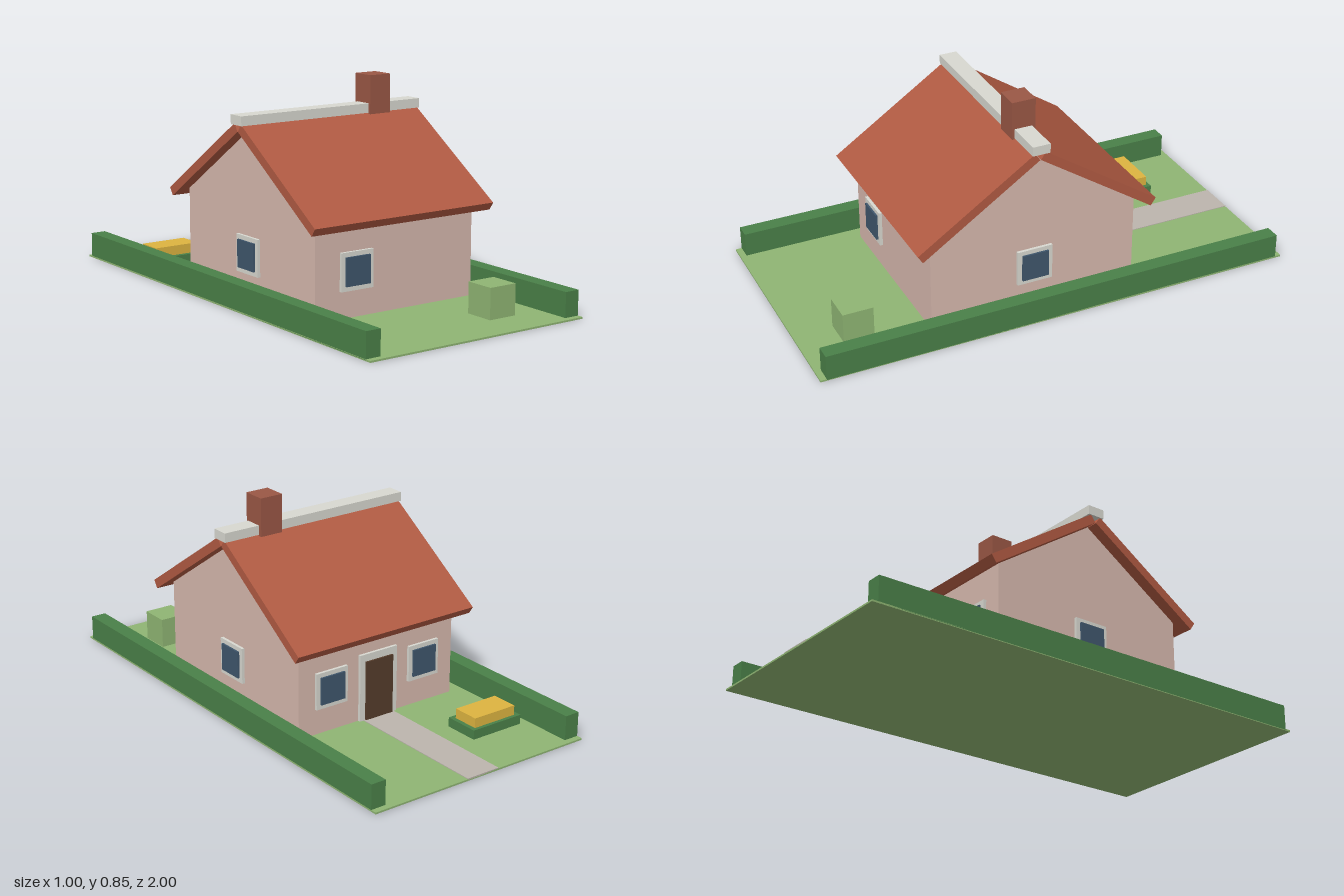
import * as THREE from 'three';

const COLORS = {
  grass: 0x8fb573, hedge: 0x4a8048, path: 0xbcb5ad, wall: 0xd6b8ad, roof: 0xb05a42,
  trim: 0xd8d8d0, glass: 0x3f566c, door: 0x553c2b, chimney: 0x9a5745, flower: 0xddb440,
};
const materials = Object.fromEntries(Object.entries(COLORS).map(([key, color]) =>
  [key, new THREE.MeshStandardMaterial({ color, flatShading: true })]));

// Box given by its extents on each axis
function box(name, material, [x0, x1], [y0, y1], [z0, z1]) {
  const mesh = new THREE.Mesh(new THREE.BoxGeometry(x1 - x0, y1 - y0, z1 - z0), materials[material]);
  mesh.name = name;
  mesh.position.set((x0 + x1) / 2, (y0 + y1) / 2, (z0 + z1) / 2);
  return mesh;
}

// Square window facing +z: frame with a raised pane
function makeWindow(name, x, z, turn) {
  const group = new THREE.Group();
  group.name = name;
  group.add(
    box('windowFrame', 'trim', [-0.074, 0.074], [0.113, 0.262], [-0.005, 0.012]),
    box('windowPane', 'glass', [-0.056, 0.056], [0.132, 0.244], [0.011, 0.02]),
  );
  group.position.set(x, 0, z);
  group.rotation.y = turn;
  return group;
}

export function createModel() {
  const model = new THREE.Group();
  model.name = 'cottageWithGarden';

  const midZ = 0.065, halfDepth = 0.435, halfWidth = 0.375;
  const frontZ = midZ + halfDepth, backZ = midZ - halfDepth;

  // Garden
  model.add(
    box('lawn', 'grass', [-0.5, 0.5], [0, 0.007], [-1, 1]),
    box('path', 'path', [-0.075, 0.073], [0.004, 0.01], [-1, backZ]),
    box('shrub', 'grass', [0.186, 0.31], [0.005, 0.131], [0.71, 0.835]),
    box('flowerBed', 'hedge', [-0.398, -0.16], [0.005, 0.045], [-0.765, -0.618]),
    box('flowers', 'flower', [-0.378, -0.178], [0.044, 0.085], [-0.75, -0.638]),
  );
  for (const s of [-1, 1]) {
    const hedge = box('hedge', 'hedge', [-0.032, 0.032], [0.003, 0.107], [-0.975, 0.975]);
    hedge.position.x = s * 0.468;
    model.add(hedge);
  }

  // Walls: gable outline extruded along x
  const gable = new THREE.Shape([
    [-halfDepth, 0.005], [halfDepth, 0.005], [halfDepth, 0.39], [0, 0.681], [-halfDepth, 0.39],
  ].map(([u, v]) => new THREE.Vector2(u, v)));
  const wallGeometry = new THREE.ExtrudeGeometry(gable, { depth: 2 * halfWidth, bevelEnabled: false });
  wallGeometry.translate(0, 0, -halfWidth).rotateY(-Math.PI / 2);
  const walls = new THREE.Mesh(wallGeometry, materials.wall);
  walls.name = 'walls';
  walls.position.z = midZ;
  model.add(walls);

  // Roof: two tilted slabs meeting under the ridge cap
  const pitch = Math.atan(2 / 3), thickness = 0.037, slope = 0.58;
  for (const s of [-1, 1]) {
    const slab = new THREE.Mesh(new THREE.BoxGeometry(0.85, thickness, slope), materials.roof);
    slab.name = s > 0 ? 'frontRoof' : 'backRoof';
    slab.rotation.x = s * pitch;
    slab.position.set(0, 0.5285, midZ + s * 0.253);
    model.add(slab);
  }
  model.add(
    box('ridgeCap', 'trim', [-0.431, 0.431], [0.7, 0.738], [0.027, 0.1]),
    box('chimney', 'chimney', [0.174, 0.273], [0.695, 0.851], [0.012, 0.11]),
  );

  // Windows on all four walls
  model.add(
    makeWindow('frontWindow', -0.188, frontZ, 0),
    makeWindow('backLeftWindow', 0.225, backZ, Math.PI),
    makeWindow('backRightWindow', -0.225, backZ, Math.PI),
    makeWindow('leftWindow', halfWidth, midZ, Math.PI / 2),
    makeWindow('rightWindow', -halfWidth, midZ, -Math.PI / 2),
  );

  // Door at the end of the path
  model.add(
    box('doorFrame', 'trim', [-0.09, 0.09], [0.005, 0.285], [backZ - 0.012, backZ + 0.005]),
    box('door', 'door', [-0.065, 0.065], [0.007, 0.255], [backZ - 0.02, backZ - 0.011]),
  );
  return model;
}
